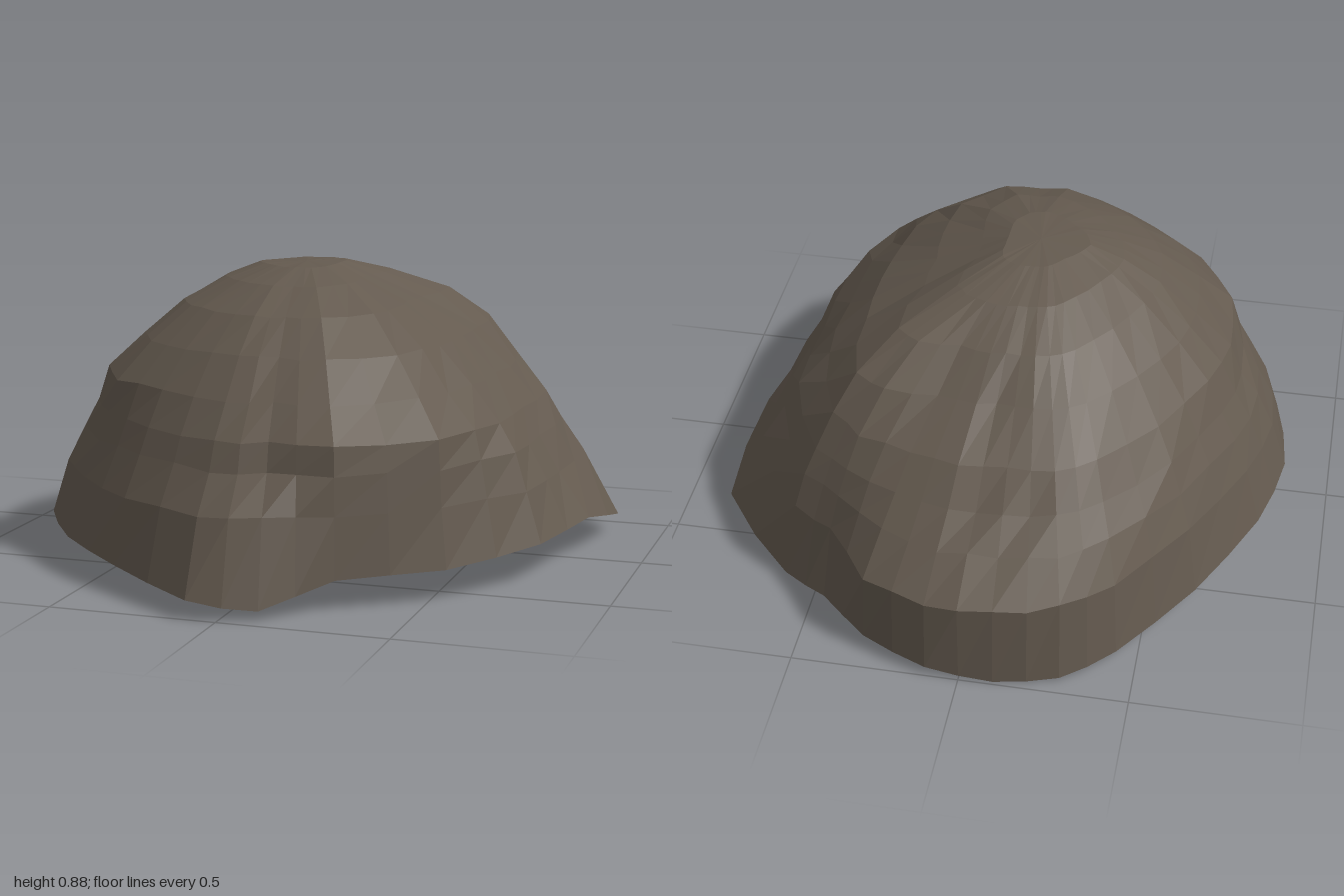
import * as THREE from 'three';

// Ground outline, from the front round by the left side
const OUTLINE_KEYS = [
  [-0.09, 0.055, 1], [0.11, 0.03, 0.96], [0.28, 0.09, 0.8], [0.55, 0.095, 0.61],
  [0.76, 0.12, 0.33], [0.835, 0.13, 0], [0.855, 0.055, -0.39], [0.6, 0.03, -0.68],
  [0.46, 0.03, -0.76], [0.3, 0.05, -0.92], [0.1, 0.03, -0.995], [-0.1, 0, -0.99],
  [-0.29, 0.01, -0.95], [-0.44, 0.035, -0.84], [-0.64, 0.06, -0.57], [-0.8, 0.09, -0.26],
  [-0.86, 0.11, 0], [-0.81, 0.1, 0.31], [-0.64, 0.09, 0.57], [-0.4, 0.075, 0.78],
].map((p) => new THREE.Vector3(...p));

// One extra point between each pair of keys
const N = OUTLINE_KEYS.length * 2;
const outlineCurve = new THREE.CatmullRomCurve3(OUTLINE_KEYS, true, 'catmullrom', 0.3);
const OUTLINE = Array.from({ length: N }, (_, i) => outlineCurve.getPoint(i / N));

// Ring heights, and how far each ring reaches from the peak (0) to the outline (1)
const HEIGHTS = [0.27, 0.38, 0.46, 0.56, 0.67, 0.77, 0.84, 0.88];
const SLOPES = [
  { at: 0, reach: [0.91, 0.81, 0.775, 0.69, 0.58, 0.45, 0.3, 0.15] }, // front
  { at: 2, reach: [0.92, 0.83, 0.8, 0.7, 0.59, 0.46, 0.3, 0.15] },
  { at: 4, reach: [0.98, 0.97, 0.96, 0.84, 0.7, 0.54, 0.36, 0.17] }, // front ledge
  { at: 6, reach: [0.97, 0.955, 0.94, 0.81, 0.67, 0.5, 0.31, 0.15] },
  { at: 8, reach: [0.94, 0.89, 0.83, 0.71, 0.58, 0.4, 0.23, 0.12] },
  { at: 10, reach: [0.9, 0.83, 0.77, 0.675, 0.555, 0.36, 0.2, 0.11] }, // left side
  { at: 12, reach: [0.88, 0.81, 0.757, 0.66, 0.54, 0.36, 0.2, 0.11] },
  { at: 14, reach: [0.95, 0.9, 0.86, 0.79, 0.7, 0.54, 0.32, 0.15] }, // back shoulder
  { at: 16, reach: [0.95, 0.91, 0.87, 0.81, 0.7, 0.55, 0.34, 0.16] },
  { at: 18, reach: [0.98, 0.88, 0.81, 0.72, 0.575, 0.45, 0.31, 0.15] },
  { at: 21, reach: [1, 0.88, 0.78, 0.69, 0.54, 0.43, 0.29, 0.14] }, // back
  { at: 28, reach: [0.94, 0.885, 0.82, 0.735, 0.61, 0.45, 0.3, 0.15] },
  { at: 32, reach: [0.937, 0.87, 0.8, 0.75, 0.61, 0.46, 0.32, 0.19] }, // right side
  { at: 36, reach: [0.93, 0.87, 0.83, 0.79, 0.65, 0.49, 0.31, 0.16] },
  { at: 38, reach: [0.94, 0.87, 0.82, 0.75, 0.635, 0.49, 0.32, 0.16] },
];
const PEAK = new THREE.Vector3(-0.07, 0.885, 0);

// Small repeatable unevenness between -0.5 and 0.5
function makeNoise(seed) {
  return () => {
    seed = (seed * 16807) % 2147483647;
    return seed / 2147483647 - 0.5;
  };
}

// Reach of ring k at outline point i, blended between the nearest slopes
function reachAt(i, k) {
  const a = SLOPES.findLastIndex((slope) => slope.at <= i);
  const from = SLOPES[a];
  const to = SLOPES[(a + 1) % SLOPES.length];
  const t = (i - from.at) / ((to.at || N) - from.at);
  return THREE.MathUtils.lerp(from.reach[k], to.reach[k], t);
}

// Flat-faceted surface from points and triangles
function surface(points, index) {
  const geometry = new THREE.BufferGeometry().setFromPoints(points).setIndex(index).toNonIndexed();
  geometry.computeVertexNormals();
  return geometry;
}

// Weathered dome: rings rising from the outline to the peak
function domeGeometry() {
  const noise = makeNoise(41);
  const points = [...OUTLINE];
  HEIGHTS.forEach((height, k) => {
    OUTLINE.forEach((foot, i) => {
      const reach = Math.min(1, reachAt(i, k) * (1 + noise() * 0.012));
      const point = PEAK.clone().lerp(foot, reach);
      point.y = height + noise() * 0.014 * reach;
      points.push(point);
    });
  });
  points.push(PEAK);

  const index = [];
  const topRing = HEIGHTS.length * N;
  for (let i = 0; i < N; i++) {
    const j = (i + 1) % N;
    for (let row = 0; row < topRing; row += N) {
      const a = row + i, b = row + j;
      index.push(a, b, b + N, a, b + N, a + N);
    }
    index.push(topRing + i, topRing + j, topRing + N);
  }
  return surface(points, index);
}

// Underside: a shallow fan closing the outline
function undersideGeometry() {
  const index = [];
  for (let i = 0; i < N; i++) index.push((i + 1) % N, i, N);
  return surface([...OUTLINE, new THREE.Vector3(0, 0.02, 0)], index);
}

export function createModel() {
  const stone = new THREE.MeshStandardMaterial({ color: 0x645a4f });
  stone.name = 'brown stone';

  const rock = new THREE.Group();
  rock.name = 'rock';
  const parts = { dome: domeGeometry(), underside: undersideGeometry() };
  for (const [name, geometry] of Object.entries(parts)) {
    const mesh = new THREE.Mesh(geometry, stone);
    mesh.name = name;
    rock.add(mesh);
  }
  return rock;
}
